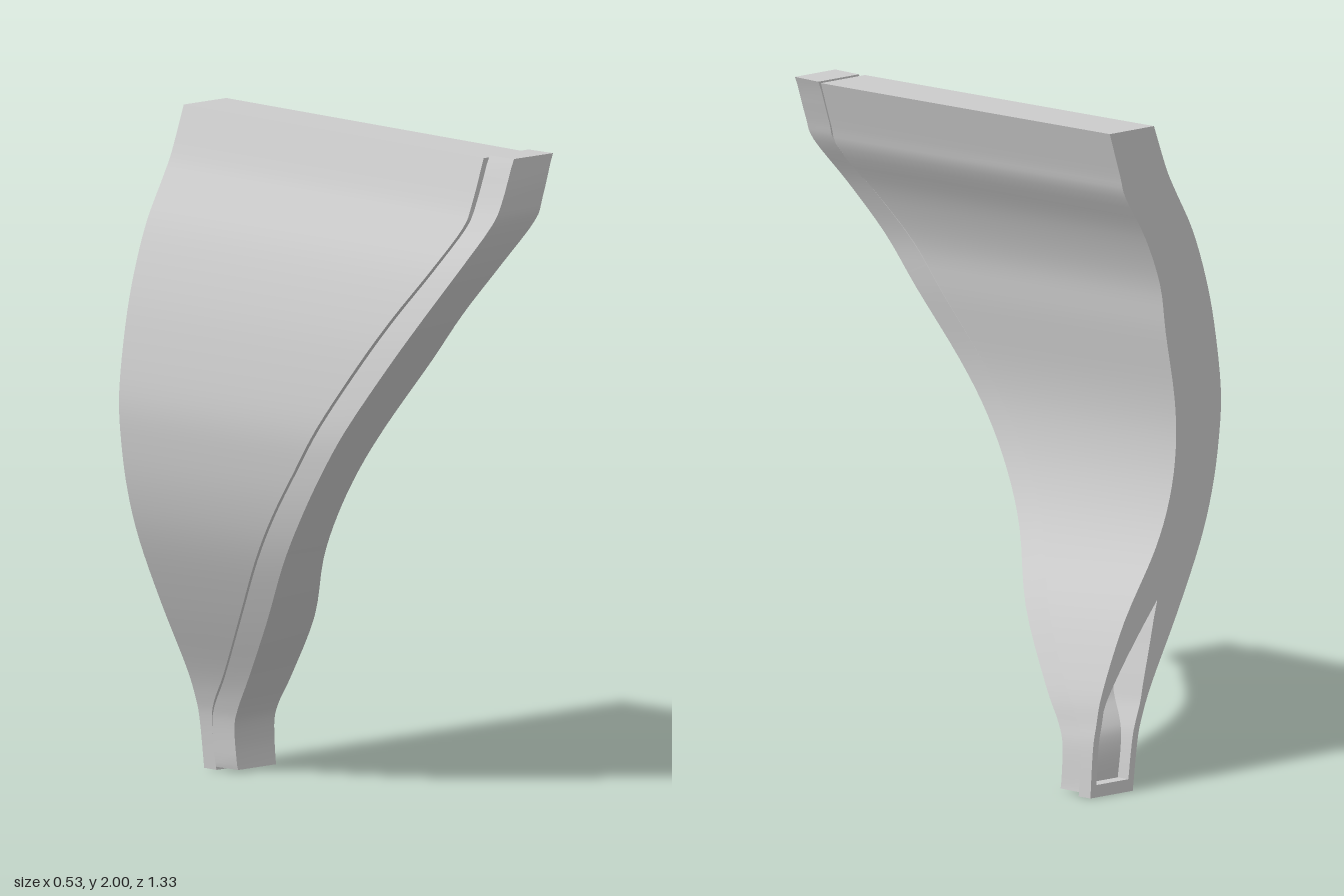
import * as THREE from 'three';
import { toCreasedNormals } from 'three/addons/utils/BufferGeometryUtils.js';

// height, convex side x, concave side x, rim front z, rim back z
const ROWS = [
  [-0.013, 0.108, 0.278, -0.52, -0.61],
  [0.13, 0.09, 0.268, -0.52, -0.61],
  [0.2, 0.073, 0.255, -0.49, -0.585],
  [0.3, 0.033, 0.23, -0.41, -0.505],
  [0.5, -0.07, 0.143, -0.235, -0.34],
  [0.7, -0.162, 0.02, -0.08, -0.185],
  [0.85, -0.21, -0.04, 0.035, -0.07],
  [1.0, -0.237, -0.065, 0.145, 0.045],
  [1.15, -0.246, -0.06, 0.255, 0.15],
  [1.35, -0.22, -0.025, 0.4, 0.29],
  [1.5, -0.185, -0.002, 0.505, 0.395],
  [1.65, -0.132, 0.057, 0.6, 0.5],
  [1.78, -0.062, 0.135, 0.66, 0.565],
  [1.85, -0.027, 0.158, 0.67, 0.57],
  [1.985, 0.023, 0.2, 0.67, 0.57],
];
const BACK = -0.66;
const { lerp } = THREE.MathUtils;

// Smooth the rows; both curves share the same height at the same t
const smooth = (a, b) => new THREE.CatmullRomCurve3(
  ROWS.map(r => new THREE.Vector3(r[a], r[0], r[b])), false, 'catmullrom', 0.5);
const sideCurve = smooth(1, 2);
const edgeCurve = smooth(3, 4);
function sample(t) {
  const s = sideCurve.getPoint(t), e = edgeCurve.getPoint(t);
  return { y: s.y, left: s.x, right: s.z, front: e.x, back: e.z };
}

// The panel leans slightly along its depth
const lean = (x, y, z) => new THREE.Vector3(x + 0.028 * z, y - 0.022 * z, z);

// Closed skin through rings of equal length, stacked upward
function loft(rings) {
  const n = rings[0].length, index = [];
  for (let i = 0; i < rings.length - 1; i++) {
    for (let j = 0; j < n; j++) {
      const a = i * n + j, b = i * n + (j + 1) % n;
      index.push(a, b, b + n, a, b + n, a + n);
    }
  }
  const top = (rings.length - 1) * n;
  for (let k = 1; k < n - 1; k++) {
    index.push(0, k + 1, k, top, top + k, top + k + 1);
  }
  const geometry = new THREE.BufferGeometry().setFromPoints(rings.flat());
  geometry.setIndex(index);
  return toCreasedNormals(geometry, 0.5);
}

// Panel section with a recess in its back edge (open: 0 closed, 1 full)
function panelRing(p, open) {
  const mid = (p.left + p.right) / 2;
  const half = lerp(0, (p.right - p.left) / 2 - 0.022, open);
  const floor = lerp(BACK, p.back - 0.004, open);
  return [
    [p.left, p.back], [p.right, p.back], [p.right, BACK],
    [mid + half, BACK], [mid + half, floor], [mid - half, floor],
    [mid - half, BACK], [p.left, BACK],
  ].map(([x, z]) => lean(x, p.y, z));
}

// Rim section, slightly offset from the panel sides
function rimRing(p) {
  const t = p.y / 2;
  const l = p.left + lerp(0, 0.025, t), r = p.right + lerp(-0.012, 0.01, t);
  const y = Math.min(Math.max(p.y, 0.01), 1.978);
  return [[l, p.front], [r, p.front], [r, p.back], [l, p.back]]
    .map(([x, z]) => new THREE.Vector3(x + 0.028 * z, y, z));
}

export function createModel() {
  const group = new THREE.Group();
  const material = new THREE.MeshStandardMaterial({ color: 0xcccccc });
  const STEPS = 56, panelRings = [], rimRings = [];

  for (let i = 0; i <= STEPS; i++) {
    const p = sample(i / STEPS);
    const open = THREE.MathUtils.clamp((0.55 - p.y) / 0.3, 0, 1);
    if (i <= 1) panelRings.push(panelRing(p, 0)); // solid foot under the recess
    if (i >= 1) panelRings.push(panelRing(p, open));
    rimRings.push(rimRing(p));
  }

  const add = (name, rings) => {
    const mesh = new THREE.Mesh(loft(rings), material);
    mesh.name = name;
    group.add(mesh);
  };
  add('curvedPanel', panelRings);
  add('frontRim', rimRings);
  return group;
}
